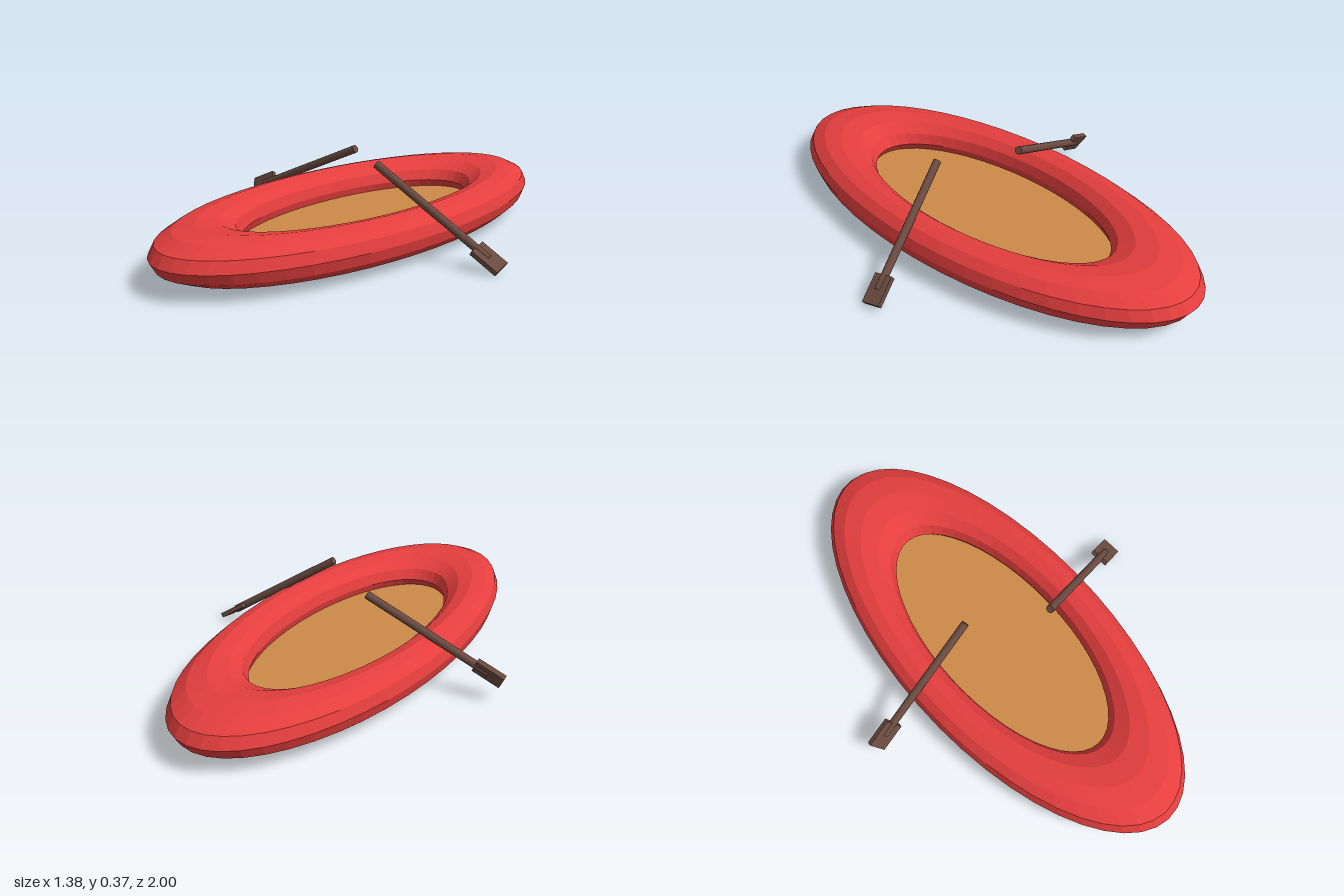
import * as THREE from 'three';

const paint = (color) => new THREE.MeshStandardMaterial({ color, flatShading: true });

// Paddle running from grip to blade centre; "across" is the blade's width direction
function makePaddle(name, grip, bladeCentre, across, material) {
  const paddle = new THREE.Group();
  paddle.name = name;
  const start = new THREE.Vector3(...grip);
  const along = new THREE.Vector3(...bladeCentre).sub(start);
  const length = along.length();
  along.normalize();
  const normal = new THREE.Vector3(...across).cross(along).normalize();
  const width = along.clone().cross(normal);

  const shaft = new THREE.Mesh(new THREE.CylinderGeometry(0.0165, 0.0165, length, 12), material);
  shaft.name = 'shaft';
  shaft.position.y = length / 2;
  const blade = new THREE.Mesh(new THREE.BoxGeometry(0.082, 0.122, 0.02), material);
  blade.name = 'blade';
  blade.position.y = length;
  paddle.add(shaft, blade);

  paddle.quaternion.setFromRotationMatrix(new THREE.Matrix4().makeBasis(width, along, normal));
  paddle.position.copy(start);
  return paddle;
}

export function createModel() {
  const boat = new THREE.Group();
  boat.name = 'raft';
  const stretch = 2.27;

  // Inflated ring, stretched lengthwise into an oval
  const ring = new THREE.TorusGeometry(0.352, 0.088, 12, 48);
  ring.rotateX(Math.PI / 2).scale(1, 1, stretch);
  const hull = new THREE.Mesh(ring, paint(0xe53e3e));
  hull.name = 'inflatedHull';
  hull.position.y = 0.119;
  boat.add(hull);

  // Thin floor set into the lower half of the ring
  const disc = new THREE.CylinderGeometry(0.29, 0.29, 0.015, 48);
  disc.scale(1, 1, stretch);
  const floor = new THREE.Mesh(disc, paint(0xcd8a48));
  floor.name = 'floor';
  floor.position.y = 0.08;
  boat.add(floor);

  // Two paddles resting over the sides
  const wood = paint(0x6a4a40);
  boat.add(
    makePaddle('rightPaddle', [-0.112, 0.342, -0.075], [-0.618, 0.114, 0.003], [0.035, -0.065, 0.035], wood),
    makePaddle('leftPaddle', [0.174, 0.355, 0.105], [0.632, 0.052, -0.012], [0.012, -0.017, 0.08], wood),
  );
  return boat;
}
